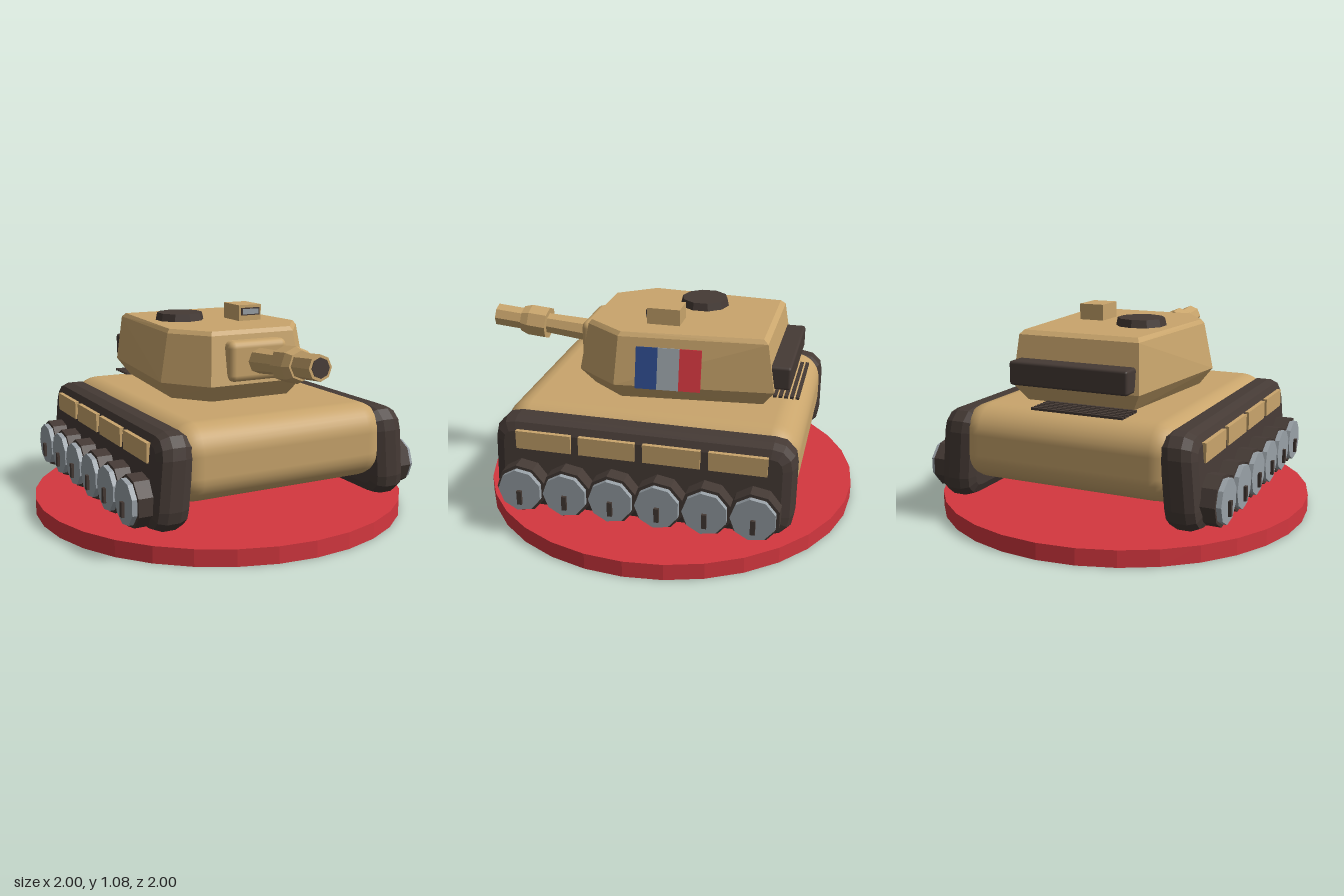
import * as THREE from 'three';
import { RoundedBoxGeometry } from 'three/addons/geometries/RoundedBoxGeometry.js';
import { ConvexGeometry } from 'three/addons/geometries/ConvexGeometry.js';

const material = (name, color, flatShading = false) => {
  const m = new THREE.MeshStandardMaterial({ color, flatShading });
  m.name = name;
  return m;
};

export function createModel() {
  const tan = material('tan paint', 0xc9a56c);
  const dark = material('dark rubber', 0x453a35);
  const grey = material('wheel grey', 0x99a1a7);
  const red = material('base red', 0xd4373f);
  const blue = material('stripe blue', 0x2d4a8c);
  const model = new THREE.Group();
  model.name = 'toyTank';

  const add = (parent, name, geometry, mat, x = 0, y = 0, z = 0) => {
    const mesh = new THREE.Mesh(geometry, mat);
    mesh.name = name;
    mesh.position.set(x, y, z);
    parent.add(mesh);
    return mesh;
  };
  const box = (w, h, d) => new THREE.BoxGeometry(w, h, d);
  // Faceted cylinder with flat sides
  const prism = (r1, r2, h, n) => {
    const g = new THREE.CylinderGeometry(r1, r2, h, n).toNonIndexed();
    g.computeVertexNormals();
    return g;
  };

  // Display base and hull
  add(model, 'base', prism(1, 1, 0.085, 32), red, 0, 0.0425, 0);
  add(model, 'hull', new RoundedBoxGeometry(1.2, 0.385, 1.515, 4, 0.14), tan, 0, 0.4325, 0);

  // Track loop: rounded side outline with bevelled edges, leaning outward at the bottom
  const hw = 0.7, hh = 0.175, c = 0.06;
  const outline = new THREE.Shape();
  outline.moveTo(-hw + c, -hh);
  outline.lineTo(hw - c, -hh);
  outline.quadraticCurveTo(hw, -hh, hw, -hh + c);
  outline.lineTo(hw, hh - c);
  outline.quadraticCurveTo(hw, hh, hw - c, hh);
  outline.lineTo(-hw + c, hh);
  outline.quadraticCurveTo(-hw, hh, -hw, hh - c);
  outline.lineTo(-hw, -hh + c);
  outline.quadraticCurveTo(-hw, -hh, -hw + c, -hh);
  const trackGeo = new THREE.ExtrudeGeometry(outline, {
    depth: 0.065, bevelThickness: 0.06, bevelSize: 0.06, bevelSegments: 2, curveSegments: 3,
  });
  trackGeo.rotateY(Math.PI / 2).translate(0.565, 0.365, 0);
  const p = trackGeo.attributes.position;
  for (let i = 0; i < p.count; i++) p.setX(i, p.getX(i) + (0.4 - p.getY(i)) * 0.09);
  trackGeo.computeVertexNormals();

  const tireGeo = prism(0.128, 0.128, 0.13, 9).rotateZ(Math.PI / 2);
  const discGeo = prism(0.112, 0.112, 0.035, 9).rotateZ(Math.PI / 2);

  // Running gear, turned half round for the other side
  ['leftRunningGear', 'rightRunningGear'].forEach((name, side) => {
    const gear = new THREE.Group();
    gear.name = name;
    gear.rotation.y = side * Math.PI;
    model.add(gear);
    add(gear, 'track', trackGeo, dark);
    for (let i = 0; i < 6; i++) {
      const z = (i - 2.5) * 0.234;
      add(gear, 'tire', tireGeo, dark, 0.705, 0.272, z);
      add(gear, 'wheelDisc', discGeo, grey, 0.778, 0.272, z);
      add(gear, 'wheelBolt', box(0.05, 0.075, 0.024), dark, 0.785, 0.238, z);
    }
    for (let i = 0; i < 4; i++) {
      add(gear, 'sidePanel', box(0.06, 0.095, 0.285), tan, 0.665, 0.502, (i - 1.5) * 0.325);
    }
  });

  // Turret: stacked six-sided sections
  const sections = [
    [0.642, [[0.29, -0.54], [0.36, 0.18], [0.22, 0.36]]],
    [0.73, [[0.345, -0.6], [0.427, 0.2], [0.26, 0.43]]],
    [0.975, [[0.325, -0.56], [0.38, 0.185], [0.235, 0.385]]],
    [0.996, [[0.31, -0.535], [0.365, 0.175], [0.225, 0.37]]],
  ];
  const points = [];
  for (const [y, half] of sections) {
    for (const [x, z] of half) points.push(new THREE.Vector3(x, y, z), new THREE.Vector3(-x, y, z));
  }
  add(model, 'turret', new ConvexGeometry(points), tan);

  // Roof hatch and sight
  add(model, 'hatch', prism(0.122, 0.132, 0.045, 10), dark, -0.155, 1.013, -0.145);
  add(model, 'sight', box(0.135, 0.09, 0.17), tan, 0.158, 1.035, -0.01);
  add(model, 'sightFrame', box(0.11, 0.04, 0.012), dark, 0.158, 1.045, 0.077);
  add(model, 'sightGlass', box(0.095, 0.028, 0.008), grey, 0.158, 1.045, 0.082);

  // Mantlet and gun, tilted slightly upward
  add(model, 'mantlet', new RoundedBoxGeometry(0.33, 0.205, 0.1, 2, 0.035), tan, 0, 0.847, 0.405);
  const gun = new THREE.Group();
  gun.name = 'gun';
  gun.position.set(0, 0.845, 0.43);
  gun.rotation.x = Math.PI / 2 - 0.09;
  model.add(gun);
  add(gun, 'barrel', prism(0.056, 0.066, 0.3, 8), tan, 0, 0.14, 0);
  add(gun, 'muzzleBrake', prism(0.088, 0.088, 0.1, 8), tan, 0, 0.315, 0);
  add(gun, 'brakeTaper', prism(0.072, 0.088, 0.045, 8), tan, 0, 0.3875, 0);
  add(gun, 'muzzle', prism(0.062, 0.062, 0.16, 8), tan, 0, 0.48, 0);
  add(gun, 'bore', prism(0.048, 0.048, 0.006, 8), dark, 0, 0.561, 0);

  // Rear stowage box and engine grille
  add(model, 'stowageBox', new RoundedBoxGeometry(0.64, 0.122, 0.13, 1, 0.015), dark, 0, 0.8, -0.612);
  for (let i = 0; i < 6; i++) {
    add(model, 'grilleBar', box(0.49, 0.012, 0.018), dark, -0.065, 0.641, -0.555 - i * 0.029);
  }

  // Three-stripe plate leaning beside the turret
  const plate = new THREE.Group();
  plate.name = 'stripePlate';
  plate.position.set(0.442, 0.847, -0.087);
  plate.rotation.set(0, 0.06, 0.23, 'YXZ');
  model.add(plate);
  [blue, grey, red].forEach((m, i) => {
    add(plate, 'stripe', box(0.009, 0.208, 0.109), m, 0, 0, (1 - i) * 0.109);
  });

  return model;
}
